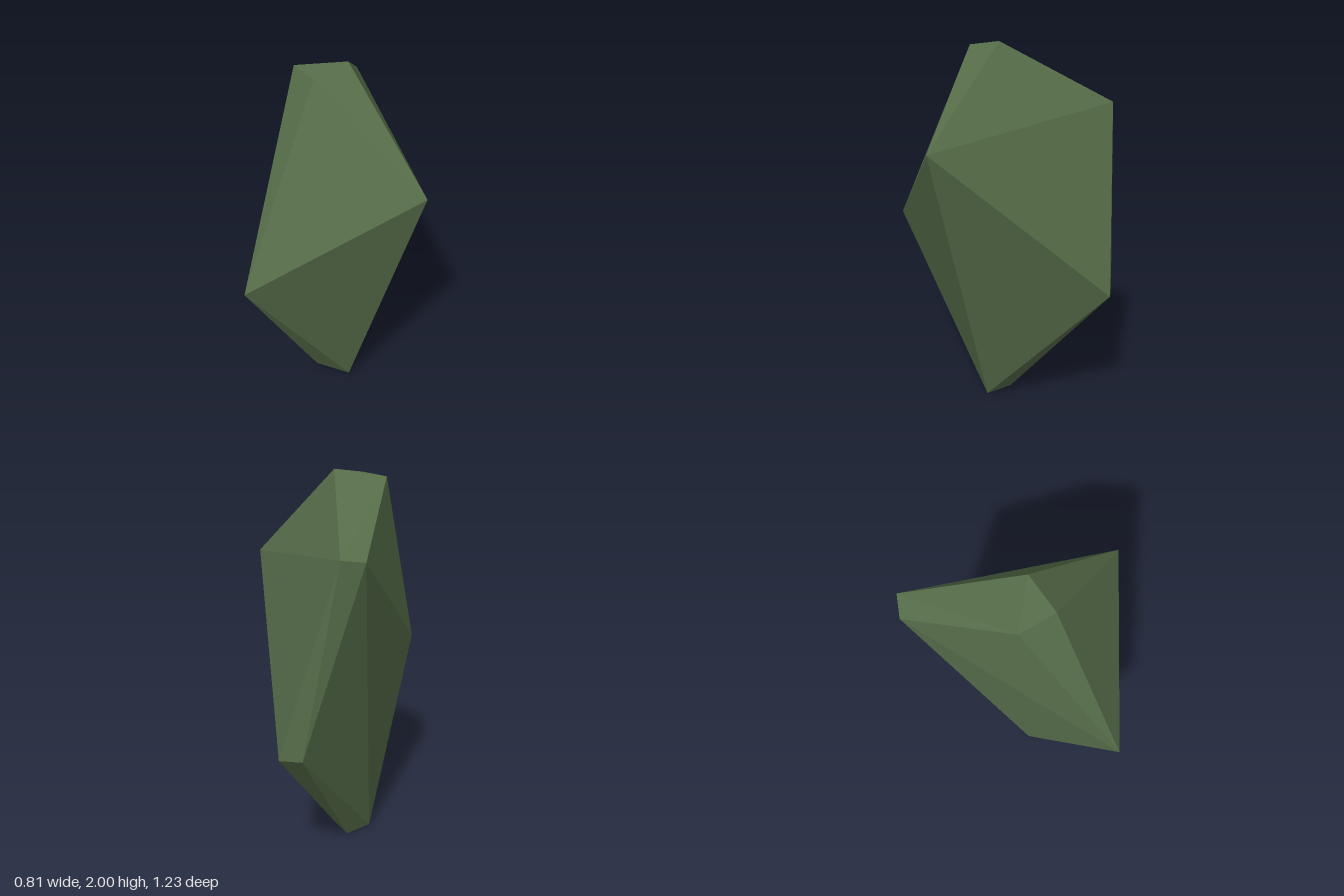
import * as THREE from 'three';
import { ConvexGeometry } from 'three/addons/geometries/ConvexGeometry.js';

export function createModel() {
  const group = new THREE.Group();
  group.name = 'crystalRock';

  const mossGreen = new THREE.MeshStandardMaterial({ color: 0x566d49, flatShading: true });
  mossGreen.name = 'mossGreen';

  // Corners of the faceted stone, wrapped in a convex shell
  const corners = [
    // small cap on top
    [-0.335, 1.965, 0.05], [-0.187, 1.97, 0.164], [-0.083, 2, -0.005],
    // wide points at the left and front
    [0.403, 1.515, 0.268], [-0.405, 0.98, 0.615],
    // upper and lower back edges
    [-0.257, 1.68, -0.583], [-0.36, 1.664, -0.522],
    [0.028, 0.695, -0.617], [-0.09, 0.703, -0.619],
    // small foot
    [-0.08, 0, 0.06], [-0.285, 0.01, 0.06], [-0.184, 0.005, -0.06],
  ].map((p) => new THREE.Vector3(...p));

  const stone = new THREE.Mesh(new ConvexGeometry(corners), mossGreen);
  stone.name = 'stone';
  group.add(stone);
  return group;
}
